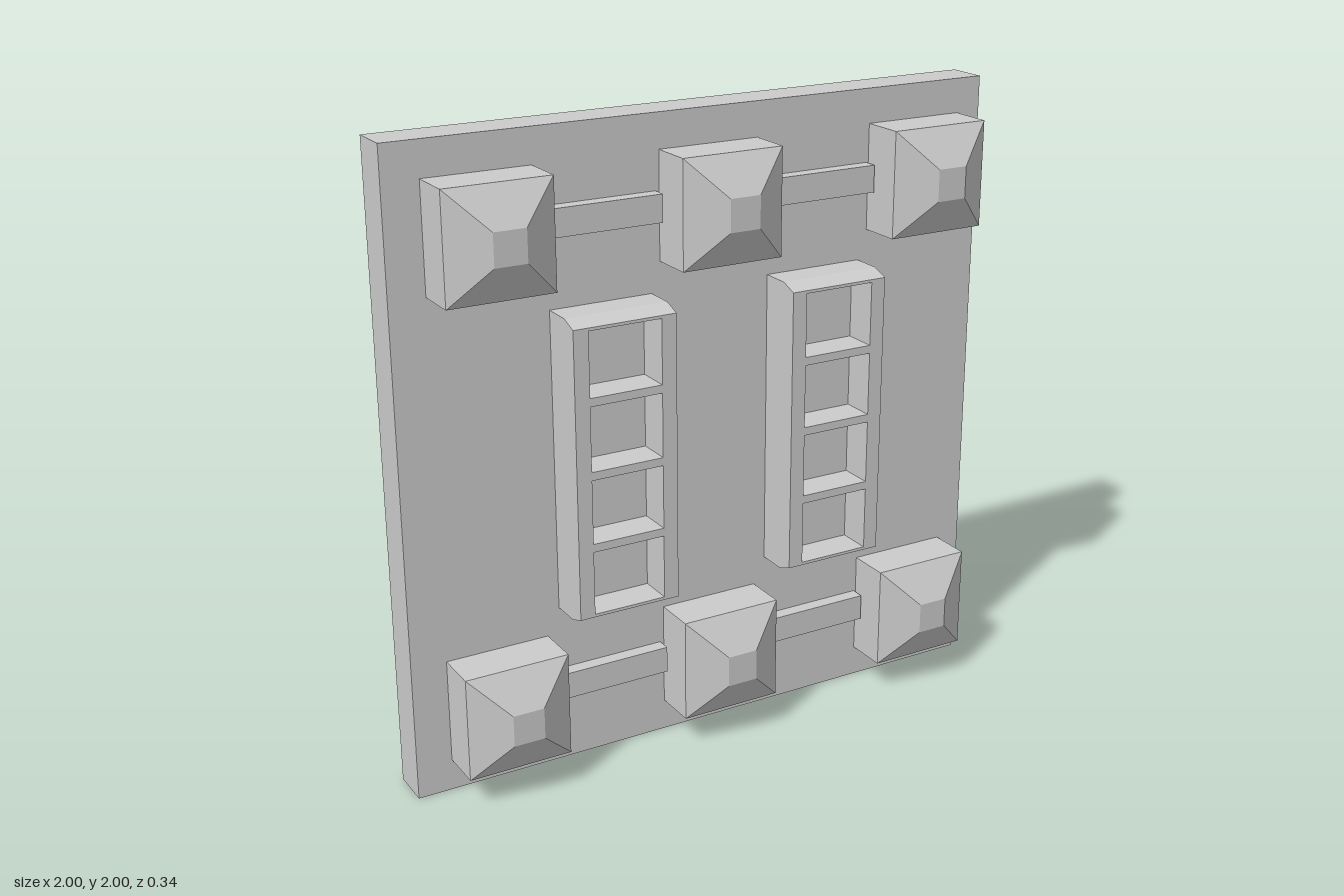
import * as THREE from 'three';

const material = new THREE.MeshStandardMaterial({ color: 0xcccccc, flatShading: true });
const FACE = -0.04; // front surface of the plate

function add(parent, name, geometry, x = 0, y = 0, z = 0) {
  const mesh = new THREE.Mesh(geometry, material);
  mesh.name = name;
  mesh.position.set(x, y, z);
  parent.add(mesh);
  return mesh;
}

// Box whose back rests at z
function addBox(parent, name, w, h, d, x, y, z) {
  return add(parent, name, new THREE.BoxGeometry(w, h, d), x, y, z + d / 2);
}

function rectangle(path, x0, y0, x1, y1) {
  path.moveTo(x0, y0);
  path.lineTo(x1, y0);
  path.lineTo(x1, y1);
  path.lineTo(x0, y1);
  path.closePath();
  return path;
}

// Square block with a truncated pyramid on its front
function createStud() {
  const group = new THREE.Group();
  group.name = 'stud';
  const size = 0.333, tip = 0.1, depth = 0.07;
  addBox(group, 'studBase', size, size, 0.14, 0, 0, FACE);
  const cap = new THREE.BoxGeometry(size, size, depth);
  const p = cap.attributes.position;
  for (let i = 0; i < p.count; i++) {
    if (p.getZ(i) > 0) p.setXY(i, Math.sign(p.getX(i)) * tip / 2, Math.sign(p.getY(i)) * tip / 2);
  }
  cap.computeVertexNormals();
  add(group, 'studCap', cap, 0, 0, 0.1 + depth / 2);
  return group;
}

// Upright frame with four recessed windows and sloped front ends
function createWindowPanel() {
  const group = new THREE.Group();
  group.name = 'windowPanel';
  const w = 0.333, h = 0.945, depth = 0.11;
  const outline = rectangle(new THREE.Shape(), -w / 2, -h / 2, w / 2, h / 2);
  for (let i = 0; i < 4; i++) {
    const y = (i - 1.5) * 0.228;
    outline.holes.push(rectangle(new THREE.Path(), -0.118, y - 0.101, 0.118, y + 0.101));
  }
  const frame = new THREE.ExtrudeGeometry(outline, { depth, steps: 2, bevelEnabled: false });
  const p = frame.attributes.position;
  for (let i = 0; i < p.count; i++) {
    const y = p.getY(i);
    if (p.getZ(i) > depth - 0.001 && Math.abs(y) > h / 2 - 0.001) p.setY(i, y - Math.sign(y) * 0.02);
  }
  frame.computeVertexNormals();
  add(group, 'windowFrame', frame);
  addBox(group, 'windowFloor', w, h, -FACE, 0, 0, FACE);
  return group;
}

export function createModel() {
  const model = new THREE.Group();
  model.name = 'wallPanel';

  addBox(model, 'backPlate', 2, 2, 0.13, 0, 1, -0.17);

  // Two rows of studs joined by flat bars
  for (const y of [0.267, 1.725]) {
    for (const x of [-0.721, 0.014, 0.749]) {
      const stud = createStud();
      stud.position.set(x, y, 0);
      model.add(stud);
    }
    for (const x of [-0.359, 0.381]) {
      addBox(model, 'connectingBar', 0.388, 0.085, 0.045, x, y + 0.004, FACE);
    }
  }

  for (const x of [-0.348, 0.386]) {
    const panel = createWindowPanel();
    panel.position.set(x, 0.992, 0);
    model.add(panel);
  }
  return model;
}
